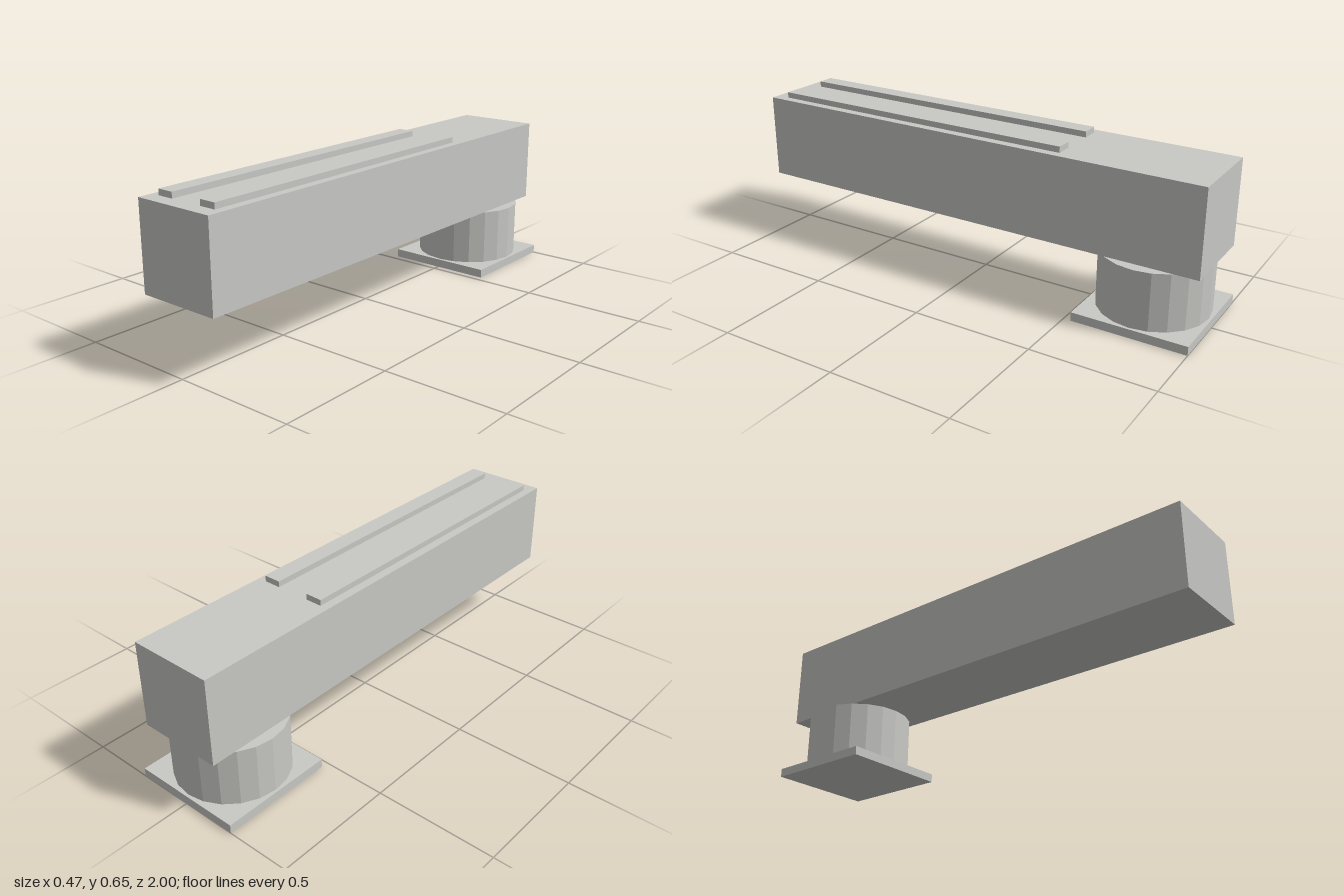
import * as THREE from 'three';

export function createModel() {
  const model = new THREE.Group();
  const grey = new THREE.MeshStandardMaterial({ color: 0xc8c8c5, flatShading: true });
  grey.name = 'light grey';

  const add = (name, geometry, x, y, z) => {
    const mesh = new THREE.Mesh(geometry, grey);
    mesh.name = name;
    mesh.position.set(x, y, z);
    model.add(mesh);
  };

  // Square foot and the 20-sided pedestal on it
  const footZ = -0.765;
  add('basePlate', new THREE.BoxGeometry(0.47, 0.036, 0.47), 0, 0.018, footZ);
  add('pedestal', new THREE.CylinderGeometry(0.224, 0.224, 0.236, 20), 0, 0.154, footZ);

  // Long overhanging beam
  add('beam', new THREE.BoxGeometry(0.353, 0.353, 2), 0, 0.4485, 0);

  // Pair of rails on top of the beam
  for (const [name, side] of [['leftRail', 1], ['rightRail', -1]]) {
    add(name, new THREE.BoxGeometry(0.07, 0.024, 1.353), side * 0.106, 0.637, 0.264);
  }

  return model;
}
